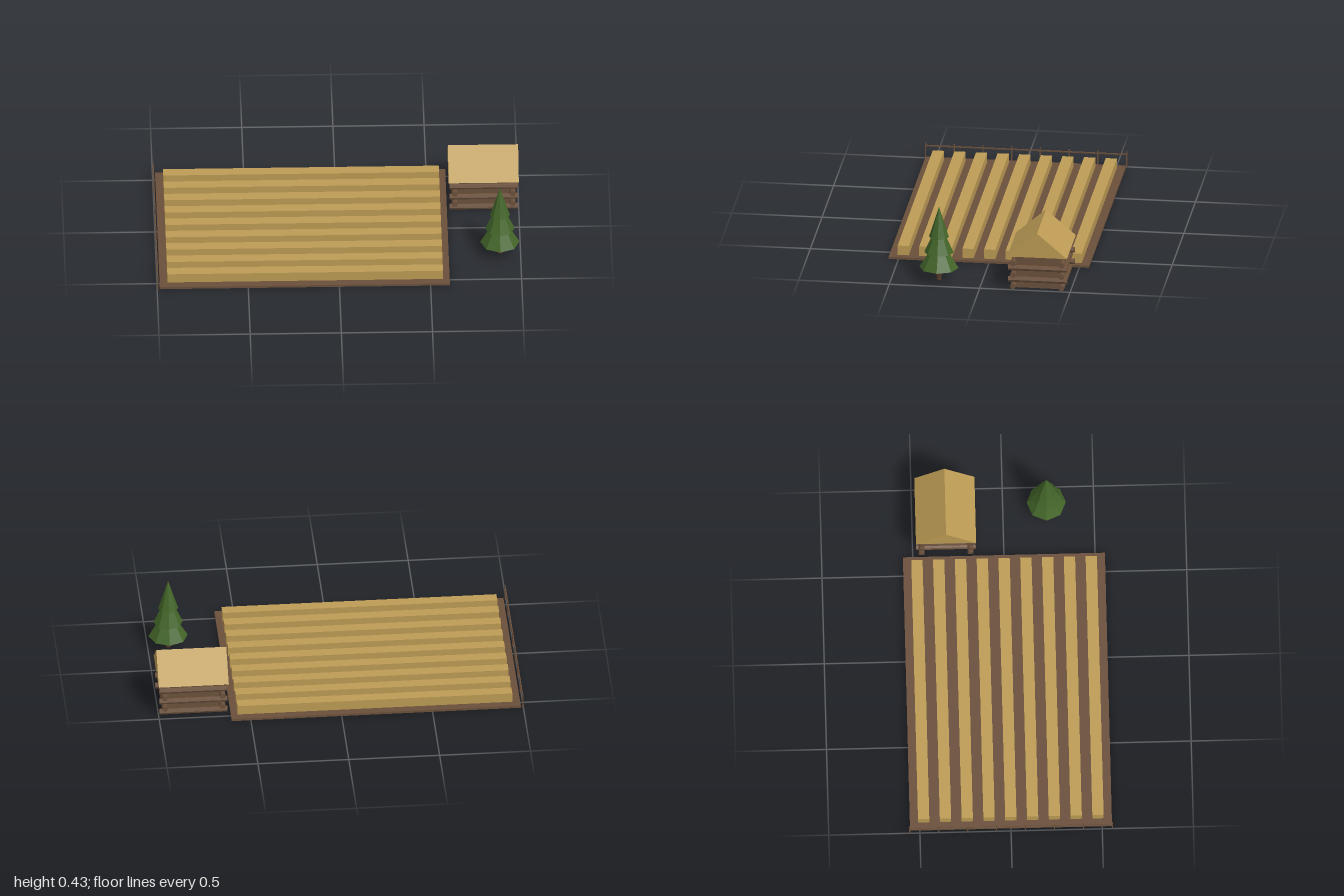
import * as THREE from 'three';

function material(name, color) {
  const m = new THREE.MeshStandardMaterial({ color, flatShading: true });
  m.name = name;
  return m;
}

export function createModel() {
  const wood = material('brown wood', 0x6b503b);
  const straw = material('straw', 0xbd9c55);
  const bark = material('dark bark', 0x553a29);
  const needles = material('pine green', 0x436529);

  const model = new THREE.Group();
  model.name = 'farmField';

  const group = (name) => {
    const g = new THREE.Group();
    g.name = name;
    model.add(g);
    return g;
  };
  const add = (parent, name, geometry, mat, x, y, z) => {
    const mesh = new THREE.Mesh(geometry, mat);
    mesh.name = name;
    mesh.position.set(x, y, z);
    parent.add(mesh);
    return mesh;
  };

  // Soil slab with nine raised crop rows
  const field = group('field');
  add(field, 'soil', new THREE.BoxGeometry(1.591, 0.013, 1.108), wood, -0.19, 0.0065, 0);
  const rowGeometry = new THREE.BoxGeometry(1.512, 0.056, 0.062);
  for (let i = -4; i <= 4; i++) {
    add(field, 'cropRow', rowGeometry, straw, -0.187, 0.039, i * 0.1195);
  }

  // Fence along the left edge
  const fence = group('fence');
  const postGeometry = new THREE.BoxGeometry(0.007, 0.089, 0.007);
  for (let i = 0; i < 8; i++) {
    add(fence, 'fencePost', postGeometry, wood, -0.9965, 0.0445, -0.556 + i * 1.112 / 7);
  }
  add(fence, 'fenceRail', new THREE.BoxGeometry(0.006, 0.007, 1.112), wood, -0.9965, 0.0735, 0);

  // Log cabin: core, interlocking logs and gable roof
  const cabin = group('cabin');
  cabin.position.set(0.8075, 0, -0.317);
  add(cabin, 'cabinWalls', new THREE.BoxGeometry(0.305, 0.192, 0.255), wood, 0, 0.097, 0);
  const longLog = new THREE.CylinderGeometry(0.0165, 0.0165, 0.375, 8).rotateZ(Math.PI / 2);
  const shortLog = new THREE.CylinderGeometry(0.0165, 0.0165, 0.327, 8).rotateX(Math.PI / 2);
  for (const side of [-1, 1]) {
    for (const y of [0.0175, 0.084, 0.151]) add(cabin, 'longLog', longLog, wood, 0, y, side * 0.134);
    for (const y of [0.051, 0.118]) add(cabin, 'shortLog', shortLog, wood, side * 0.159, y, 0);
  }
  const gable = new THREE.Shape([
    new THREE.Vector2(-0.165, 0.193),
    new THREE.Vector2(0.165, 0.193),
    new THREE.Vector2(0, 0.334),
  ]);
  const roofGeometry = new THREE.ExtrudeGeometry(gable, { depth: 0.385, bevelEnabled: false })
    .translate(0, 0, -0.1925)
    .rotateY(Math.PI / 2);
  add(cabin, 'roof', roofGeometry, straw, 0, 0, 0);

  // Pine tree with three stacked cones
  const tree = group('pineTree');
  tree.position.set(0.887, 0, 0.239);
  add(tree, 'trunk', new THREE.CylinderGeometry(0.0145, 0.0145, 0.1, 8), bark, 0, 0.05, 0);
  [0.108, 0.081, 0.055].forEach((radius, i) => {
    add(tree, 'foliage', new THREE.ConeGeometry(radius, 0.176, 8), needles, 0, 0.159 + i * 0.089, 0);
  });

  return model;
}
